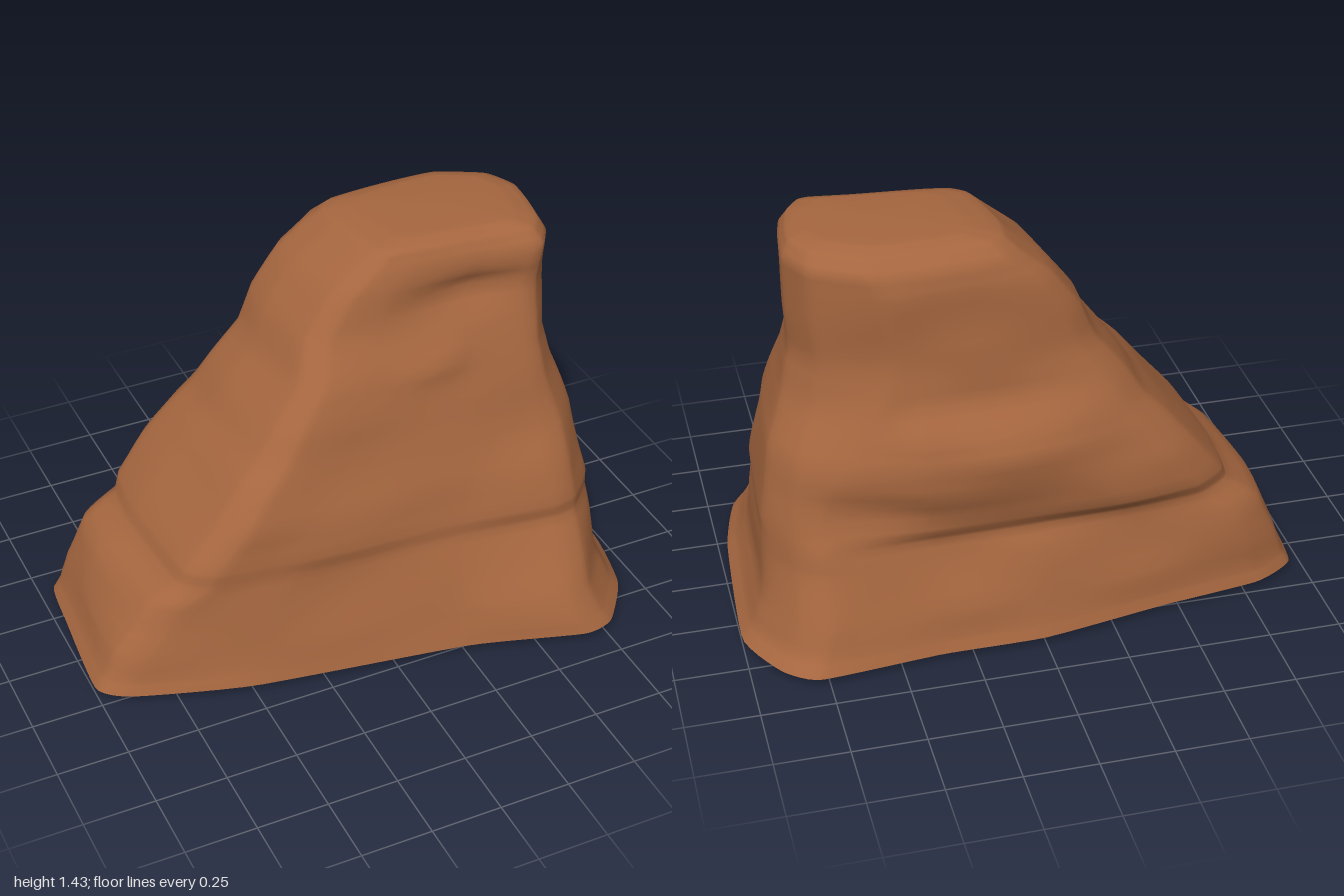
import * as THREE from 'three';

const SEG = 96, SUB = 3;

// Height, left x, right x, front z (left, right), back z (left, middle, right)
const LEVELS = [
  [0.03, -1.0, 1.0, 0.28, 0.65, -0.48, -0.61, -0.65],
  [0.08, -0.97, 0.96, 0.27, 0.63, -0.47, -0.59, -0.62],
  [0.18, -0.94, 0.92, 0.27, 0.58, -0.47, -0.57, -0.59],
  [0.33, -0.86, 0.91, 0.28, 0.49, -0.46, -0.52, -0.52],
  [0.41, -0.75, 0.90, 0.30, 0.44, -0.45, -0.49, -0.50],
  [0.47, -0.72, 0.90, 0.31, 0.44, -0.48, -0.53, -0.48],
  [0.60, -0.61, 0.88, 0.31, 0.39, -0.48, -0.55, -0.47],
  [0.72, -0.51, 0.86, 0.28, 0.33, -0.46, -0.56, -0.46],
  [0.80, -0.43, 0.83, 0.26, 0.30, -0.44, -0.53, -0.45],
  [0.90, -0.36, 0.79, 0.24, 0.27, -0.41, -0.45, -0.43],
  [1.02, -0.26, 0.76, 0.20, 0.23, -0.39, -0.43, -0.42],
  [1.15, -0.20, 0.77, 0.12, 0.19, -0.38, -0.42, -0.41],
  [1.28, -0.10, 0.77, 0.10, 0.18, -0.38, -0.42, -0.40],
  [1.36, 0.00, 0.77, 0.09, 0.17, -0.37, -0.40, -0.39],
  [1.41, 0.06, 0.74, 0.08, 0.13, -0.33, -0.35, -0.34],
  [1.43, 0.18, 0.66, 0.03, 0.07, -0.27, -0.29, -0.28],
];

const mix = THREE.MathUtils.lerp;
const step = THREE.MathUtils.smoothstep;
const bump = (x, y, cx, cy, rx, ry) => Math.exp(-(((x - cx) / rx) ** 2) - ((y - cy) / ry) ** 2);

// Angular outline of the rock at one level
function outline([y, xl, xr, fl, fr, bl, bm, br]) {
  const w = (xr - xl) / 2;
  const at = (t) => mix(xl, xr, t);
  const skew = 0.07 * step(y, 0.03, 0.3);     // left face turns towards the front
  const chamfer = 0.18 * step(y, 0.5, 1.1);   // back right corner is cut higher up
  const corners = [
    [xl + 0.05 * w, mix(bl, fl, 0.12)],
    [xl + 0.025 * w, mix(bl, fl, 0.4)],
    [xl + skew * 0.7, mix(bl, fl, 0.88)],
    [xl + 0.1 * w + skew, fl],
    [at(0.25) + skew * 0.5, mix(fl, fr, 0.34)],
    [at(0.63), mix(fl, fr, 0.68)],
    [at(0.83), fr],
    [at(0.89), mix(fr, br, 0.02)],
    [at(0.955), mix(fr, br, 0.15)],
    [at(0.985), mix(fr, br, 0.35)],
    [xr, mix(fr, br, 0.78 - chamfer)],
    [at(0.95 - chamfer * 0.15), mix(fr, br, 0.94 - chamfer * 0.6)],
    [at(0.89 - chamfer), br],
    [at(0.68 - chamfer * 0.3), mix(br, bm, 0.9)],
    [at(0.5 - chamfer * 0.2), bm],
    [at(0.28), mix(bm, bl, 0.6 - 0.3 * step(y, 0.35, 0.5))],
    [at(0.1), bl],
  ].map(([x, z]) => new THREE.Vector3(x, y, z));
  const curve = new THREE.CatmullRomCurve3(corners, true, 'catmullrom', 0.25);
  return Array.from({ length: SEG }, (_, i) => curve.getPoint(i / SEG));
}

// Weathered surface: ripples, a ledge slanting along the back, a hollow high on the front
function weather(p) {
  const { x, y, z } = p;
  const fade = step(y, 0.03, 0.2) * (1 - step(y, 1.3, 1.42));
  const k = fade * (0.008 * Math.sin(9 * x + 14 * y + 5 * z) + 0.006 * Math.sin(19 * y - 11 * x + 9 * z));
  p.x += (x - 0.15) * k * 0.5;
  p.z += (z + 0.05) * k;
  if (z > 0) {
    p.z -= 0.05 * bump(x, y, 0.42, 1.23, 0.2, 0.05);
    p.z += 0.025 * bump(x, y, 0.27, 1.02, 0.1, 0.05);
  } else if (z < -0.3) {
    p.z += 0.03 * bump(x, y, 0.45, 0.53 + 0.12 * (x - 0.45), 0.35, 0.06);
  }
  return p;
}

// Skin over a stack of loops, closed to a point at the last one
function skin(loops, tip) {
  const pos = [], index = [];
  loops.forEach((loop) => loop.forEach((p) => pos.push(p.x, p.y, p.z)));
  pos.push(tip.x, tip.y, tip.z);
  for (let r = 0; r < loops.length; r++) {
    for (let i = 0; i < SEG; i++) {
      const a = r * SEG + i, b = r * SEG + (i + 1) % SEG;
      if (r < loops.length - 1) index.push(a, b, b + SEG, a, b + SEG, a + SEG);
      else index.push(a, b, loops.length * SEG);
    }
  }
  const geo = new THREE.BufferGeometry();
  geo.setAttribute('position', new THREE.Float32BufferAttribute(pos, 3));
  geo.setIndex(index);
  geo.computeVertexNormals();
  return geo;
}

export function createModel() {
  const group = new THREE.Group();
  group.name = 'rock';
  const material = new THREE.MeshStandardMaterial({ color: 0xa5663f });
  const add = (name, geo) => {
    const mesh = new THREE.Mesh(geo, material);
    mesh.name = name;
    group.add(mesh);
  };

  // Sloping sides and flat top
  const loops = [];
  for (let r = 0; r < LEVELS.length - 1; r++) {
    for (let s = 0; s < SUB; s++) {
      loops.push(outline(LEVELS[r].map((v, i) => mix(v, LEVELS[r + 1][i], s / SUB))).map(weather));
    }
  }
  loops.push(outline(LEVELS[LEVELS.length - 1]));
  add('rockBody', skin(loops, new THREE.Vector3(0.42, 1.435, -0.12)));

  // Nearly flat underside with two low spots, loops reversed to face down
  const base = [...loops[0]].reverse();
  const under = [1, 0.92, 0.84, 0.76, 0.6, 0.4, 0.2].map((k) => base.map(({ x, z }) => {
    const dip = 0.025 * bump(x * k, z * k, 0.53, -0.42, 0.15, 0.12) + 0.012 * bump(x * k, z * k, -0.85, 0, 0.1, 0.2);
    return new THREE.Vector3(x * k, k === 1 ? 0.03 : 0.025 - dip, z * k);
  }));
  add('rockUnderside', skin(under, new THREE.Vector3(0, 0.025, 0)));

  return group;
}
